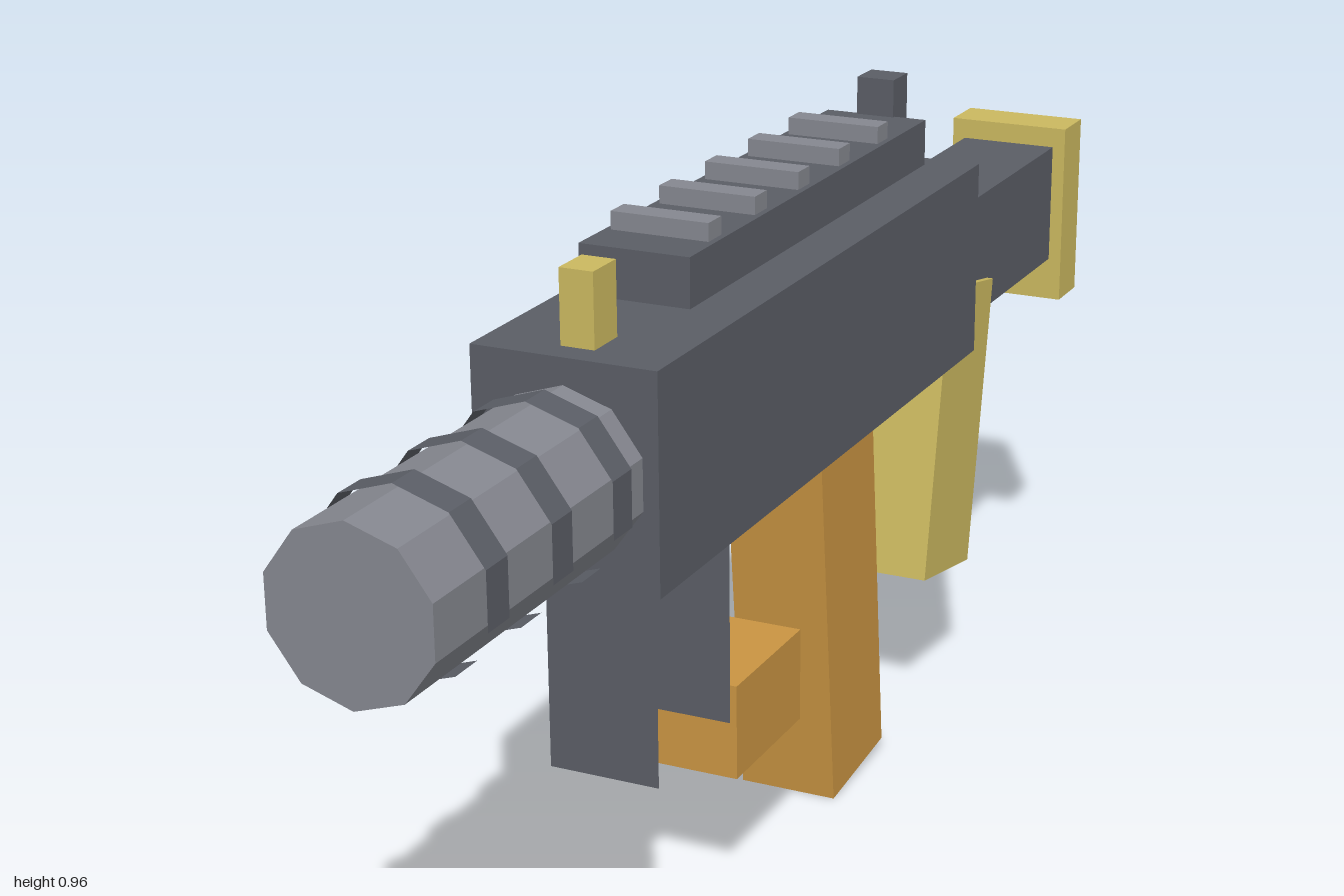
import * as THREE from 'three';

const mat = (name, color) => {
  const m = new THREE.MeshStandardMaterial({ color, side: THREE.DoubleSide, flatShading: true });
  m.name = name;
  return m;
};

export function createModel() {
  const model = new THREE.Group();
  model.name = 'toyBlaster';
  const dark = mat('darkGrey', 0x5a5d65);
  const light = mat('lightGrey', 0x85878f);
  const yellow = mat('mutedYellow', 0xcab85f);
  const orange = mat('orange', 0xc99442);

  const add = (name, geometry, material, y, z) => {
    const mesh = new THREE.Mesh(geometry, material);
    mesh.name = name;
    mesh.position.set(0, y, z);
    model.add(mesh);
    return mesh;
  };

  // Box by its extents; open lists faces left out (0 +x, 1 -x, 2 +y, 3 -y, 4 +z, 5 -z)
  const box = (name, material, width, y0, y1, z0, z1, open = []) => {
    const g = new THREE.BoxGeometry(width, y1 - y0, z1 - z0);
    if (open.length) {
      g.setIndex(Array.from(g.index.array).filter((_, i) => !open.includes(Math.floor(i / 6))));
      g.clearGroups();
    }
    return add(name, g, material, (y0 + y1) / 2, (z0 + z1) / 2);
  };

  // Body and stock
  box('receiver', dark, 0.24, 0.555, 0.83, -0.47, 0.54);
  box('stock', dark, 0.146, 0.565, 0.745, -0.925, -0.47);
  box('stockPad', yellow, 0.185, 0.5, 0.775, -1, -0.925);

  // Top rail, its teeth and the sights
  box('rail', dark, 0.146, 0.845, 0.908, -0.38, 0.36);
  for (let i = 0; i < 5; i++) {
    const z = 0.275 - i * 0.13;
    box('railTooth', light, 0.13, 0.9, 0.931, z - 0.0175, z + 0.0175);
  }
  box('frontSight', yellow, 0.044, 0.83, 0.923, 0.447, 0.503);
  box('rearSight', dark, 0.054, 0.87, 0.96, -0.425, -0.375);

  // Ten-sided barrel with broken bands
  const barrelY = 0.692;
  add('barrel', new THREE.CylinderGeometry(0.105, 0.105, 0.46, 10), light, barrelY, 0.77).rotation.x = Math.PI / 2;
  const side = Math.PI / 5;
  for (const z of [0.605, 0.745, 0.885]) {
    for (const [start, count] of [[2, 6], [-1, 2]]) {
      const band = new THREE.CylinderGeometry(0.113, 0.113, 0.045, count, 1, true, start * side, count * side);
      add('barrelBand', band, dark, barrelY, z).rotation.x = Math.PI / 2;
    }
  }

  // Parts below the body
  box('foregrip', dark, 0.148, 0.268, 0.555, 0.258, 0.46, [0, 3]);
  box('triggerBlock', orange, 0.156, 0.185, 0.315, 0.048, 0.247, [3]);
  const magazine = box('magazine', orange, 0.14, 0.0085, 0.5235, -0.238, -0.062, [3]);
  magazine.rotation.x = 0.1;
  const grip = box('rearGrip', yellow, 0.165, 0.2, 0.63, -0.607, -0.427);
  grip.rotation.x = -0.18;

  return model;
}
